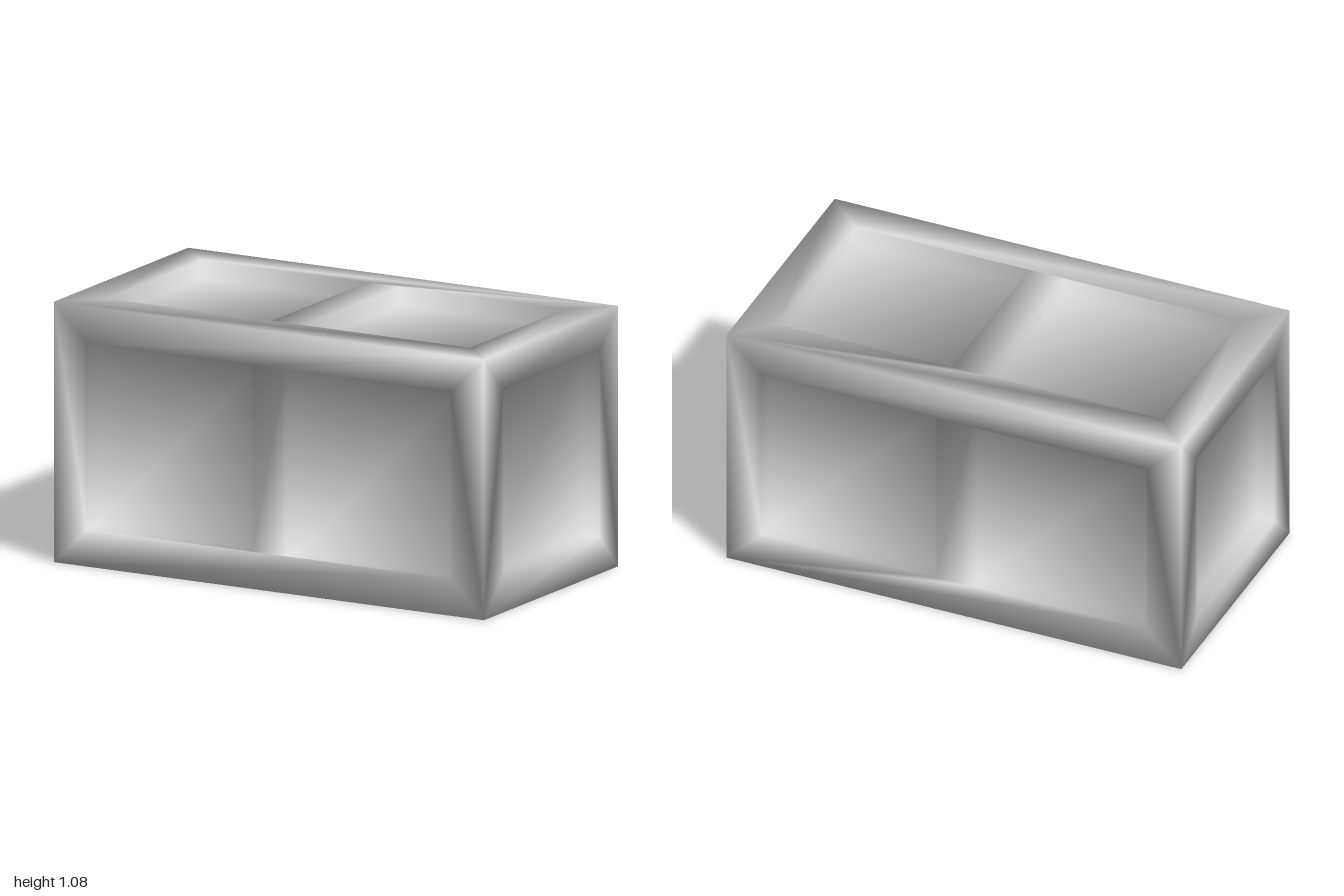
import * as THREE from 'three';
import { mergeGeometries } from 'three/addons/utils/BufferGeometryUtils.js';

const U = 1 / 13;        // module unit: rim is 2U wide, recess is U deep
const HALF = 7 * U;      // half height and half depth of the block
const HOLE = 5 * U;      // half size of a square recess
const CELL = 6 * U;      // recess centre offset on the long sides
const DEPTH = U;

const square = (cx, w, h) =>
  [[-w, -h], [w, -h], [w, h], [-w, h]].map(([x, y]) => new THREE.Vector2(cx + x, y));

// One side in its own plane (facing +z): rim with holes, recess walls and recess floors
function sideGeometry(halfWidth, centres) {
  const shape = new THREE.Shape(square(0, halfWidth, HALF));
  const holes = centres.map((cx) => square(cx, HOLE, HOLE));
  holes.forEach((h) => shape.holes.push(new THREE.Path(h)));
  const rim = new THREE.ShapeGeometry(shape).toNonIndexed();
  const points = [];
  const quad = (a, b, c, d) => points.push(a, b, c, a, c, d);
  for (const hole of holes) {
    const top = hole.map((p) => new THREE.Vector3(p.x, p.y, 0));
    const floor = hole.map((p) => new THREE.Vector3(p.x, p.y, -DEPTH));
    quad(...floor);
    for (let i = 0; i < 4; i++) {
      const j = (i + 1) % 4;
      quad(top[i], top[j], floor[j], floor[i]);
    }
  }
  const recess = new THREE.BufferGeometry().setFromPoints(points);
  rim.deleteAttribute('normal');
  rim.deleteAttribute('uv');
  return mergeGeometries([rim, recess]);
}

// Smooth normals: every face direction meeting at a corner counts once
function smoothNormals(geometry) {
  const pos = geometry.attributes.position;
  const corners = new Map();
  const vert = (i) => new THREE.Vector3().fromBufferAttribute(pos, i);
  const key = (v) => v.toArray().map((n) => Math.round(n * 1000)).join();
  for (let i = 0; i < pos.count; i += 3) {
    const tri = [vert(i), vert(i + 1), vert(i + 2)];
    const n = new THREE.Triangle(...tri).getNormal(new THREE.Vector3()).round();
    for (const v of tri) {
      const k = key(v);
      if (!corners.has(k)) corners.set(k, new Map());
      corners.get(k).set(key(n), n);
    }
  }
  const normals = [];
  for (let i = 0; i < pos.count; i++) {
    const sum = new THREE.Vector3();
    corners.get(key(vert(i))).forEach((n) => sum.add(n));
    normals.push(...sum.normalize().toArray());
  }
  geometry.setAttribute('normal', new THREE.Float32BufferAttribute(normals, 3));
  return geometry;
}

export function createModel() {
  const sides = [];
  // Four long sides with two recesses each
  for (let i = 0; i < 4; i++) {
    sides.push(sideGeometry(1, [-CELL, CELL]).translate(0, 0, HALF).rotateX(i * Math.PI / 2));
  }
  // Two square ends with one recess each
  for (const s of [-1, 1]) {
    sides.push(sideGeometry(HALF, [0]).translate(0, 0, 1).rotateY(s * Math.PI / 2));
  }
  const block = new THREE.Mesh(
    smoothNormals(mergeGeometries(sides)),
    new THREE.MeshStandardMaterial({ color: 0xcccccc })
  );
  block.name = 'recessedBlock';
  block.position.y = HALF;

  const group = new THREE.Group();
  group.name = 'panelledBlock';
  group.add(block);
  return group;
}
